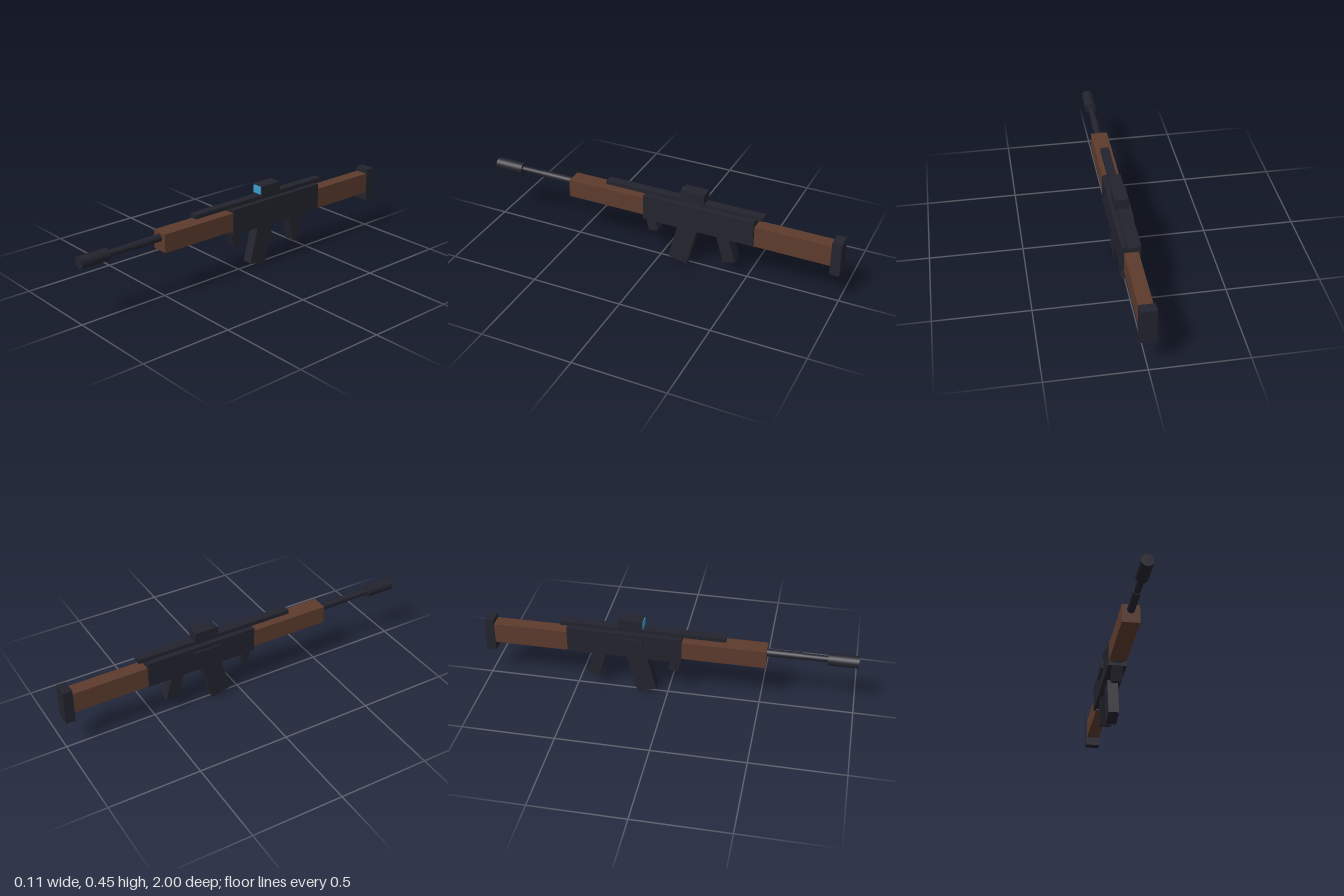
import * as THREE from 'three';

const CX = 0.004; // centre line of the body

export function createModel() {
  const model = new THREE.Group();
  model.name = 'rifle';

  const mat = (name, color) => {
    const m = new THREE.MeshStandardMaterial({ color });
    m.name = name;
    return m;
  };
  const metal = mat('dark metal', 0x23232e);
  const wood = mat('brown wood', 0x5c3b2d);
  const glass = mat('blue glass', 0x38a0d0);

  const add = (name, geometry, material) => {
    const mesh = new THREE.Mesh(geometry, material);
    mesh.name = name;
    model.add(mesh);
    return mesh;
  };

  // Box from its extents
  const box = (name, material, [x0, x1], [y0, y1], [z0, z1]) =>
    add(name, new THREE.BoxGeometry(x1 - x0, y1 - y0, z1 - z0), material)
      .position.set((x0 + x1) / 2, (y0 + y1) / 2, (z0 + z1) / 2);

  // Symmetric extents around the centre line
  const wide = (w) => [CX - w / 2, CX + w / 2];

  // Leaning box placed by the middle of its lower end
  const leaning = (name, width, depth, length, y, z, degrees) => {
    const a = THREE.MathUtils.degToRad(degrees);
    const mesh = add(name, new THREE.BoxGeometry(width, length, depth), metal);
    mesh.rotation.x = a;
    mesh.position.set(CX, y + Math.cos(a) * length / 2, z + Math.sin(a) * length / 2);
  };

  // Round part along z
  const tube = (name, radius, z0, z1) => {
    const g = new THREE.CylinderGeometry(radius, radius, z1 - z0, 24).rotateX(Math.PI / 2);
    add(name, g, metal).position.set(CX, 0.33, (z0 + z1) / 2);
  };

  // Body
  box('receiver', metal, wide(0.098), [0.235, 0.378], [-0.54, 0.08]);
  box('handguard', wood, wide(0.092), [0.26, 0.36], [0.07, 0.525]);
  box('stock', wood, wide(0.072), [0.228, 0.343], [-0.96, -0.515]);
  box('buttPlate', metal, wide(0.082), [0.18, 0.368], [-1, -0.948]);
  box('ejectionCover', metal, [-0.055, -0.035], [0.312, 0.354], [-0.28, -0.125]);

  // Barrel
  tube('barrel', 0.017, 0.5, 0.86);
  tube('barrelSleeve', 0.02, 0.5, 0.71);
  tube('muzzle', 0.032, 0.84, 1);

  // Rail and sight
  box('rail', metal, wide(0.046), [0.378, 0.4], [-0.58, 0.31]);
  box('sight', metal, wide(0.071), [0.39, 0.455], [-0.26, -0.13]);
  box('sightLens', glass, wide(0.054), [0.408, 0.452], [-0.133, -0.127]);

  // Parts below the receiver
  leaning('magazine', 0.057, 0.109, 0.27, 0.014, -0.112, -14);
  leaning('grip', 0.064, 0.069, 0.19, 0.087, -0.408, 16);
  leaning('foregrip', 0.054, 0.054, 0.11, 0.162, 0.03, 14);
  box('triggerGuard', metal, wide(0.03), [0.213, 0.222], [-0.34, -0.24]);

  return model;
}
